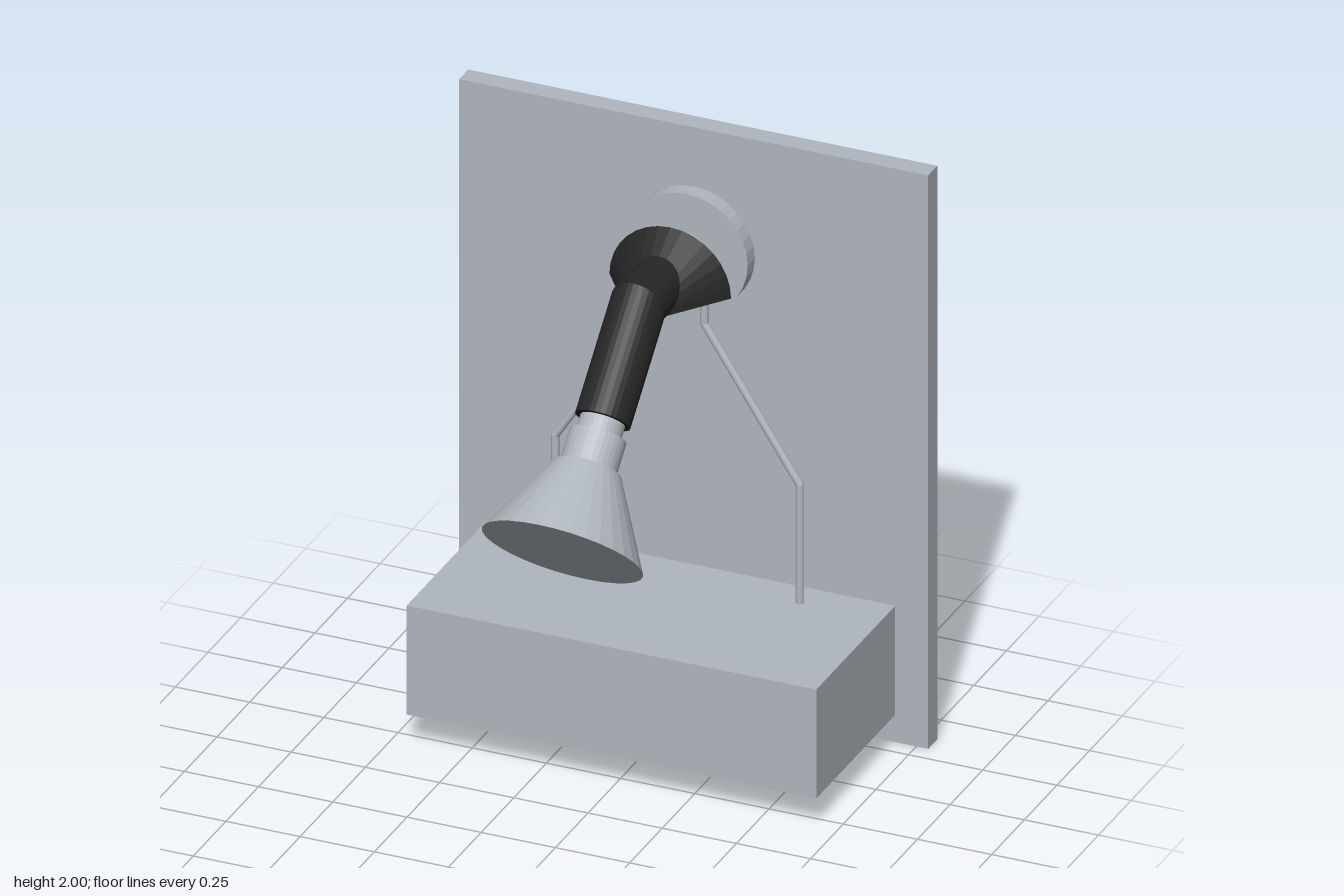
import * as THREE from 'three';

const V = (x, y, z) => new THREE.Vector3(x, y, z);
const UP = V(0, 1, 0);

export function createModel() {
  const model = new THREE.Group();
  const grey = new THREE.MeshStandardMaterial({ color: 0xb0b6be });
  grey.name = 'paleGrey';
  const black = new THREE.MeshStandardMaterial({ color: 0x262626 });
  black.name = 'black';

  // Adds a faceted mesh
  const add = (name, geo, mat = grey, parent = model) => {
    const flat = geo.index ? geo.toNonIndexed() : geo;
    flat.computeVertexNormals();
    const mesh = new THREE.Mesh(flat, mat);
    mesh.name = name;
    parent.add(mesh);
    return mesh;
  };

  const box = (name, w, h, d, y, z) =>
    add(name, new THREE.BoxGeometry(w, h, d).translate(0, y, z));

  // Round bar between two points, with a radius at each end
  const bar = (a, b, ra, rb = ra, sides = 32) => {
    const q = new THREE.Quaternion().setFromUnitVectors(UP, b.clone().sub(a).normalize());
    const mid = a.clone().add(b).multiplyScalar(0.5);
    return new THREE.CylinderGeometry(rb, ra, a.distanceTo(b), sides)
      .applyQuaternion(q).translate(mid.x, mid.y, mid.z);
  };

  // Moves every vertex by a rule
  const reshape = (geo, rule) => {
    const pos = geo.attributes.position;
    const p = V(0, 0, 0);
    for (let i = 0; i < pos.count; i++) {
      rule(p.fromBufferAttribute(pos, i));
      pos.setXYZ(i, p.x, p.y, p.z);
    }
    return geo;
  };

  // Wall plate and trough
  box('backPlate', 1.58, 2, 0.07, 1, -0.595);
  box('trough', 1.38, 0.38, 0.605, 0.3, -0.2325);

  // Wall flange and pipe stub
  const axisY = 1.588;
  add('wallFlange', bar(V(0, axisY, -0.565), V(0, axisY, -0.505), 0.206));
  add('pipeStub', bar(V(0, axisY, -0.51), V(0, axisY, -0.19), 0.071));

  // Black sleeve: flat-bottomed hood and two mitred tubes
  const sleeve = new THREE.Group();
  sleeve.name = 'sleeve';
  model.add(sleeve);
  const floorY = 1.533, elbowZ = -0.137, slope = Math.tan(Math.PI / 8), r = 0.089;
  const mitre = (y) => elbowZ + slope * (y - axisY);

  add('hood', reshape(bar(V(0, floorY, -0.38), V(0, floorY, -0.1), 0.205, 0),
    (p) => { p.y = Math.max(p.y, floorY); }), black, sleeve);

  add('sleeveRear', reshape(bar(V(0, axisY, -0.379), V(0, axisY, elbowZ), r), (p) => {
    p.y = Math.max(p.y, floorY);
    if (p.z > -0.3) p.z = mitre(p.y);
  }), black, sleeve);

  const sum = axisY + elbowZ; // the angled parts follow y + z = sum
  const along = (z) => V(0, sum - z, z);
  add('sleeveFront', reshape(bar(along(elbowZ), along(0.137), r), (p) => {
    if (p.z - p.y > -1.4) return;
    const t = Math.min((mitre(p.y) - p.z) / (1 + slope), p.y - floorY);
    p.y -= t;
    p.z += t;
  }), black, sleeve);

  // Nozzle: neck, collar and flared cone
  add('nozzleNeck', bar(along(0.1), along(0.18), 0.072));
  add('nozzleCollar', bar(along(0.172), along(0.25), 0.091));
  add('nozzleCone', bar(along(0.249), along(0.446), 0.107, 0.26));

  // Bent wire hanger looped over the pipe stub
  const hanger = new THREE.Group();
  hanger.name = 'wireHanger';
  model.add(hanger);
  const wireR = 0.013, wireZ = -0.437, loopR = 0.09;
  for (const side of [-1, 1]) {
    const path = [[0.412, 0.48], [0.412, 0.9], [loopR, 1.395], [loopR, axisY]]
      .map(([x, y]) => V(side * x, y, wireZ));
    for (let i = 0; i < 3; i++) {
      add('wire', bar(path[i], path[i + 1], wireR, wireR, 12), grey, hanger);
      const c = path[i + 1];
      if (i < 2) add('wireBend', new THREE.SphereGeometry(wireR, 12, 8).translate(c.x, c.y, c.z), grey, hanger);
    }
  }
  add('wireLoop', new THREE.TorusGeometry(loopR, wireR, 12, 24, Math.PI)
    .translate(0, axisY, wireZ), grey, hanger);

  return model;
}
